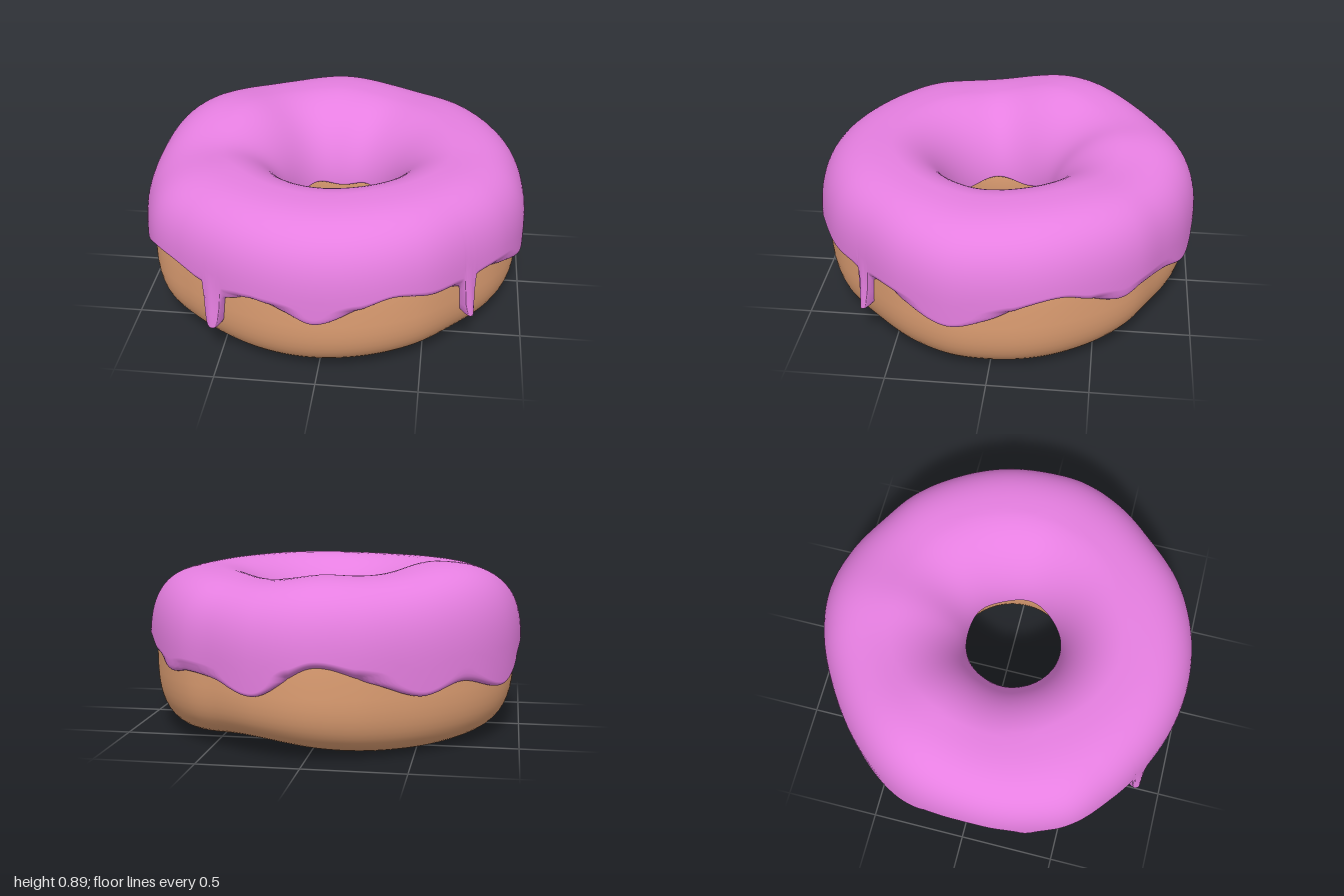
import * as THREE from 'three';

const COLUMNS = 600, THICK = 0.035, RIDGE = 0.62, MID = 0.42;
const rad = Math.PI / 180;

// Smooth closed curve through [degrees, value] points
function loopCurve(points) {
  const n = points.length;
  const at = i => {
    const turn = Math.floor(i / n), p = points[i - turn * n];
    return [p[0] + 360 * turn, p[1]];
  };
  const slope = i => {
    const a = at(i - 1), b = at(i + 1);
    return (b[1] - a[1]) / (b[0] - a[0]);
  };
  return deg => {
    let i = n - 1;
    while (i >= 0 && points[i][0] > deg) i--;
    const [d0, v0] = at(i), [d1, v1] = at(i + 1);
    const w = d1 - d0, t = (deg - d0) / w, t2 = t * t, t3 = t2 * t;
    return v0 * (2 * t3 - 3 * t2 + 1) + v1 * (3 * t2 - 2 * t3)
      + w * (slope(i) * (t3 - 2 * t2 + t) + slope(i + 1) * (t3 - t2));
  };
}

// Outer radius of the icing around the ring (0 = +x, 90 = front)
const outerRadius = loopCurve([
  [0, 0.994], [12, 1.005], [25, 0.99], [42, 0.965], [60, 0.985], [90, 0.997], [120, 0.997], [134, 1.015],
  [147, 1.045], [160, 1.025], [180, 1], [200, 1], [225, 0.965], [240, 0.96], [255, 0.98], [270, 0.998],
  [285, 0.985], [300, 0.965], [312, 0.975], [330, 0.975], [345, 0.985]]);

// Height of the icing's wavy outer edge, without the drips
const edgeHeight = loopCurve([
  [0, 0.37], [11, 0.325], [24, 0.385], [34, 0.425], [47, 0.42], [55, 0.425], [68, 0.47], [78, 0.42], [90, 0.345],
  [99, 0.395], [108, 0.43], [116, 0.41], [128, 0.44], [146, 0.465], [160, 0.36], [168, 0.42], [179, 0.45],
  [190, 0.38], [203, 0.3], [220, 0.36], [235, 0.315], [250, 0.39], [267, 0.47], [283, 0.325],
  [298, 0.375], [310, 0.39], [319, 0.37], [329, 0.42], [338, 0.47], [348, 0.45]]);

const drips = [
  { at: 121.5, depth: 0.2, width: 2.8 },
  { at: 41.5, depth: 0.185, width: 2 }];

const bump = (deg, at, width) => {
  const d = ((deg - at + 540) % 360) - 180;
  return Math.exp(-((d / width) ** 2));
};

// Rounded stem with a flared root
function dripShape(deg, drip) {
  const d = Math.abs(deg - drip.at) / drip.width;
  return 0.78 * Math.exp(-(d ** 6)) + 0.22 * Math.exp(-((d / 2.2) ** 2));
}

const topHalf = deg => 0.393 + 0.052 * bump(deg, 205, 25) - 0.025 * bump(deg, 168, 18) + 0.008 * bump(deg, 65, 25)
  + 0.015 * bump(deg, 266, 14) - 0.02 * bump(deg, 295, 20) - 0.01 * bump(deg, 10, 18);
const bottomHalf = deg => MID - 0.018 + 0.012 * Math.cos(3 * deg * rad + 0.5) - 0.035 * bump(deg, 292, 24);

// Roundness of the section: boxy at the lower outside, rounder towards the hole
const roundness = (outside, above) => outside ? (above ? 0.72 : 0.62) : (above ? 1.03 : 0.95);

// Point on the ring's cross-section, pushed out by "off"
function ringPoint(deg, phi, off) {
  const a = deg * rad, c = Math.cos(phi), s = Math.sin(phi);
  const inner = 0.255 + THICK + 0.035 * Math.sin(a) + 0.01 * Math.cos(a);
  const wide = c > 0 ? outerRadius(deg) - THICK - RIDGE : RIDGE - inner;
  const tall = s > 0 ? topHalf(deg) : bottomHalf(deg);
  const power = roundness(c > 0, s > 0);
  const r = RIDGE + Math.sign(c) * (wide + off) * Math.abs(c) ** power;
  const y = MID + Math.sign(s) * (tall + off) * Math.abs(s) ** power;
  return [r * Math.cos(a), y, r * Math.sin(a)];
}

// Angle above the middle where the section has the given height
function phiAtHeight(deg, y, outside) {
  const d = y - MID, tall = d > 0 ? topHalf(deg) : bottomHalf(deg);
  return Math.sign(d) * Math.asin(Math.min(1, Math.abs(d) / tall) ** (1 / roundness(outside, d > 0)));
}

// Skin of rows x columns, closed around the ring and optionally around the section
function ringSurface(rows, closed, pointsAt) {
  const position = [], index = [];
  for (let j = 0; j < COLUMNS; j++) {
    for (const p of pointsAt(j * 360 / COLUMNS)) position.push(...p);
  }
  for (let j = 0; j < COLUMNS; j++) {
    const j2 = (j + 1) % COLUMNS;
    for (let i = 0; i < (closed ? rows : rows - 1); i++) {
      const i2 = (i + 1) % rows;
      const a = j * rows + i, b = j * rows + i2, c = j2 * rows + i2, d = j2 * rows + i;
      index.push(a, b, c, a, c, d);
    }
  }
  const geometry = new THREE.BufferGeometry();
  geometry.setAttribute('position', new THREE.Float32BufferAttribute(position, 3));
  geometry.setIndex(index);
  geometry.computeVertexNormals();
  return geometry;
}

function doughGeometry() {
  const rows = 56;
  return ringSurface(rows, true, deg =>
    Array.from({ length: rows }, (_, i) => ringPoint(deg, i / rows * 2 * Math.PI, 0)));
}

function icingGeometry() {
  const lip = 8, body = 40, lipSize = 0.05, sunk = 0.008;
  return ringSurface(2 * lip + body, false, deg => {
    const baseEdge = edgeHeight(deg);
    let edge = baseEdge, swell = 0;
    for (const drip of drips) {
      edge -= drip.depth * dripShape(deg, drip);
      swell += bump(deg, drip.at, drip.width * 0.9);
    }
    const start = phiAtHeight(deg, edge, true);
    const base = phiAtHeight(deg, baseEdge, true);
    const end = Math.PI - phiAtHeight(deg, 0.435 + 0.015 * Math.sin(5 * deg * rad), false);
    const points = [];
    const add = (phi, round) => {
      // Drips stand a little further out than the rest of the coat
      const low = THREE.MathUtils.smoothstep(-phi, -0.05, 0.25);
      points.push(ringPoint(deg, phi, -sunk + (THICK + sunk + 0.035 * swell * low) * round));
    };
    for (let k = 0; k < lip; k++) {
      const t = k / lip * Math.PI / 2;
      add(start + lipSize * (1 - Math.cos(t)), Math.sin(t));
    }
    // Rows follow the drips near the edge and even out above them
    for (let k = 0; k < body; k++) {
      const t = k / (body - 1);
      add(THREE.MathUtils.lerp(base + lipSize, end - lipSize, t) + (start - base) * (1 - t) ** 8, 1);
    }
    for (let k = lip - 1; k >= 0; k--) {
      const t = k / lip * Math.PI / 2;
      add(end - lipSize * (1 - Math.cos(t)), Math.sin(t));
    }
    return points;
  });
}

export function createModel() {
  const group = new THREE.Group();
  group.name = 'donut';
  const add = (name, geometry, color) => {
    const mesh = new THREE.Mesh(geometry, new THREE.MeshStandardMaterial({ color }));
    mesh.name = name;
    group.add(mesh);
  };
  add('dough', doughGeometry(), 0xdf9f73);
  add('icing', icingGeometry(), 0xe67fe1);
  return group;
}
